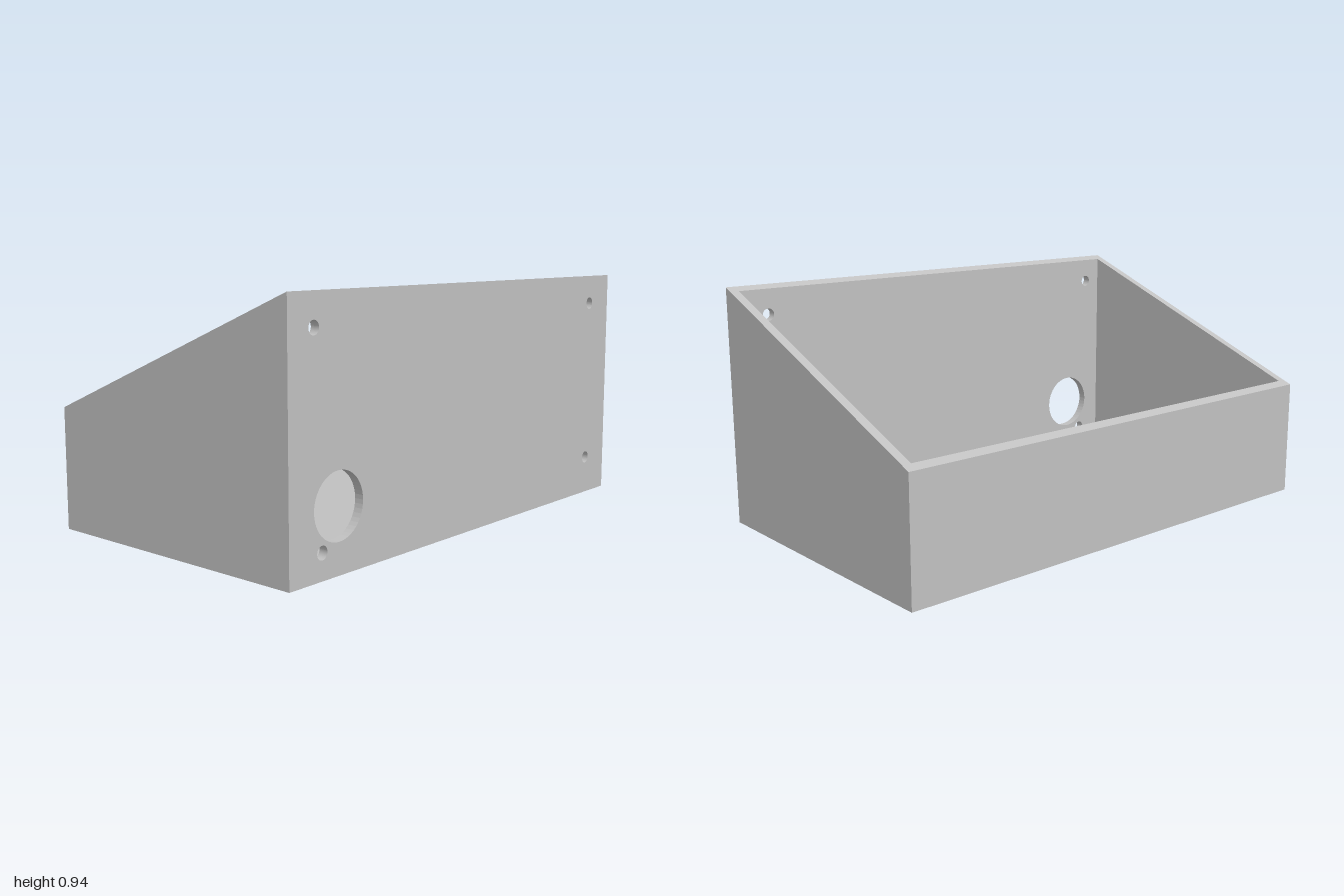
import * as THREE from 'three';

const L = 2, D = 1.176, H = 0.941, BACK_H = 0.4706, T = 0.0353;
const SLOPE = (H - BACK_H) / D;

// Height of the sloping rim at depth z
const rimY = (z) => BACK_H + (z + D / 2) * SLOPE;

// Upright wall from z0 to z1 with a sloping top, spanning x0 to x1
function slopedWall(z0, z1, x0, x1) {
  const shape = new THREE.Shape([
    new THREE.Vector2(z0, 0),
    new THREE.Vector2(z1, 0),
    new THREE.Vector2(z1, rimY(z1)),
    new THREE.Vector2(z0, rimY(z0)),
  ]);
  const geo = new THREE.ExtrudeGeometry(shape, { depth: x1 - x0, bevelEnabled: false });
  geo.rotateY(-Math.PI / 2);
  geo.translate(x1, 0, 0);
  return geo;
}

// Tall front panel with a cable opening and four screw holes
function frontPanel() {
  const shape = new THREE.Shape([
    new THREE.Vector2(-L / 2, 0),
    new THREE.Vector2(L / 2, 0),
    new THREE.Vector2(L / 2, H),
    new THREE.Vector2(-L / 2, H),
  ]);
  const holes = [
    [-0.765, 0.235, 0.12],
    [-0.882, 0.825, 0.0245],
    [0.845, 0.825, 0.0245],
    [0.845, 0.155, 0.0245],
    [-0.847, 0.095, 0.0245],
  ];
  for (const [x, y, r] of holes) {
    shape.holes.push(new THREE.Path().absarc(x, y, r, 0, Math.PI * 2, true));
  }
  const geo = new THREE.ExtrudeGeometry(shape, { depth: T, bevelEnabled: false, curveSegments: 24 });
  geo.translate(0, 0, D / 2 - T);
  // Tilt the top edge to follow the rim
  const p = geo.attributes.position;
  for (let i = 0; i < p.count; i++) {
    if (p.getY(i) > H - 0.001) p.setY(i, rimY(p.getZ(i)));
  }
  geo.computeVertexNormals();
  return geo;
}

export function createModel() {
  const group = new THREE.Group();
  group.name = 'slopedEnclosure';
  const grey = new THREE.MeshStandardMaterial({ color: 0xc0c0c0 });
  grey.name = 'lightGrey';

  const add = (name, geo) => {
    const mesh = new THREE.Mesh(geo, grey);
    mesh.name = name;
    group.add(mesh);
  };

  const zIn = D / 2 - T, xIn = L / 2 - T;

  add('frontPanel', frontPanel());
  add('backWall', slopedWall(-D / 2, -zIn, -L / 2, L / 2));
  add('leftWall', slopedWall(-zIn, zIn, xIn, L / 2));
  add('rightWall', slopedWall(-zIn, zIn, -L / 2, -xIn));

  // Floor fitted between the walls
  const floor = new THREE.BoxGeometry(2 * xIn, T, 2 * zIn);
  floor.translate(0, T / 2, 0);
  add('floor', floor);

  return group;
}
